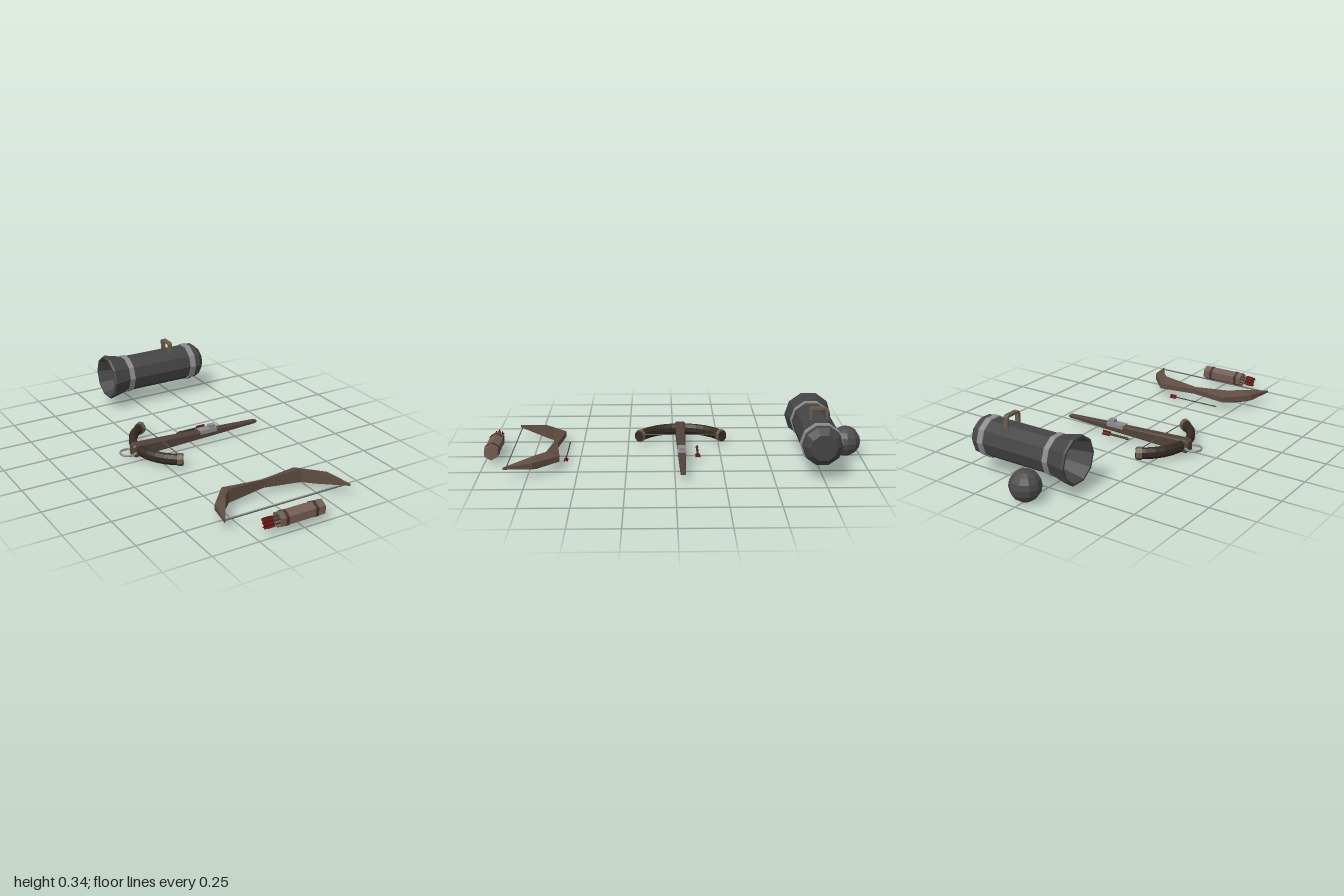
import * as THREE from 'three';

const mat = (color) => new THREE.MeshStandardMaterial({ color, flatShading: true });
const IRON = mat(0x444444), STEEL = mat(0x8c8c8c), BRASS = mat(0x6b5e4a), BALL = mat(0x4c4c4c);
const WOOD = mat(0x5f4c42), LEATHER = mat(0x745c53), STRAP = mat(0x43342d);
const STOCK = mat(0x51423a), LIMB = mat(0x352b22), STRING = mat(0x5a5a5a);
const RED = mat(0x6a1212), SHAFT = mat(0x3c3626);

function add(parent, name, geometry, material, x = 0, y = 0, z = 0) {
  const mesh = new THREE.Mesh(geometry, material);
  mesh.name = name;
  mesh.position.set(x, y, z);
  parent.add(mesh);
  return mesh;
}

function subgroup(parent, name, x = 0, y = 0, z = 0) {
  const g = new THREE.Group();
  g.name = name;
  g.position.set(x, y, z);
  parent.add(g);
  return g;
}

// Turned body along x from [x, radius] points
function turned(points, sides, phase = 0) {
  return new THREE.LatheGeometry(points.map(([x, r]) => new THREE.Vector2(r, x)), sides, phase)
    .rotateZ(-Math.PI / 2);
}

const band = (x0, x1, r, inner, sides, phase) =>
  turned([[x0, inner], [x0, r], [x1, r], [x1, inner]], sides, phase);

// Straight rod between two points
function rod(a, b, r) {
  const d = new THREE.Vector3().subVectors(b, a);
  const g = new THREE.CylinderGeometry(r, r, d.length(), 6);
  g.applyQuaternion(new THREE.Quaternion().setFromUnitVectors(new THREE.Vector3(0, 1, 0), d.clone().normalize()));
  const m = a.clone().add(b).multiplyScalar(0.5);
  return g.translate(m.x, m.y, m.z);
}

// Skin over equal-length rings of [x, y, z], closed at both ends
function loft(rings) {
  const n = rings[0].length, last = (rings.length - 1) * n, index = [];
  for (let i = 0; i < rings.length - 1; i++) {
    for (let j = 0; j < n; j++) {
      const a = i * n + j, b = i * n + (j + 1) % n;
      index.push(a, b, a + n, b, b + n, a + n);
    }
  }
  for (let j = 1; j < n - 1; j++) index.push(0, j + 1, j, last, last + j, last + j + 1);
  const g = new THREE.BufferGeometry();
  g.setAttribute('position', new THREE.Float32BufferAttribute(rings.flat(2), 3));
  g.setIndex(index);
  g.computeVertexNormals();
  return g;
}

// Arrow along x: three vanes at the tail, optional point at the tip
function arrow(parent, name, tip, tail, y, z, r, vaneLen, vaneH, pointed = true) {
  const g = subgroup(parent, name, 0, y, z);
  const s = Math.sign(tail - tip), head = pointed ? r * 5 : 0;
  add(g, 'shaft', rod(new THREE.Vector3(tip + s * head, 0, 0), new THREE.Vector3(tail - s * 0.004, 0, 0), r), SHAFT);
  if (pointed) {
    const cone = new THREE.ConeGeometry(r * 1.5, head, 6).rotateZ(s * Math.PI / 2);
    add(g, 'point', cone, SHAFT, tip + s * head / 2);
  }
  for (let k = 0; k < 3; k++) {
    const vane = new THREE.BoxGeometry(vaneLen, vaneH, 0.004).translate(0, vaneH / 2, 0)
      .rotateX(k * Math.PI * 2 / 3);
    add(g, 'vane', vane, RED, tail - s * vaneLen / 2);
  }
}

function buildCannon(root) {
  const g = subgroup(root, 'cannon', 0, 0.181, -0.735);
  add(g, 'barrel', turned([
    [0.3, 0], [0.3, 0.08], [-0.05, 0.082], [-0.175, 0.112], [-0.175, 0.122], [-0.165, 0.127],
    [-0.06, 0.102], [0.4, 0.102], [0.433, 0.068], [0.433, 0],
  ], 10), IRON);
  add(g, 'frontBand', band(-0.068, -0.038, 0.108, 0.09, 10), STEEL);
  add(g, 'rearBand', band(0.333, 0.367, 0.108, 0.09, 10), STEEL);
  // Arched handle with chamfered corners
  const arch = new THREE.Shape([[-0.048, 0], [-0.036, 0], [-0.036, 0.053], [-0.032, 0.058], [0.032, 0.058],
    [0.036, 0.053], [0.036, 0], [0.048, 0], [0.048, 0.06], [0.037, 0.07], [-0.037, 0.07], [-0.048, 0.06]]
    .map(([x, y]) => new THREE.Vector2(x, y)));
  const handle = new THREE.ExtrudeGeometry(arch, { depth: 0.025, bevelEnabled: false }).rotateY(Math.PI / 2);
  add(g, 'handle', handle, BRASS, 0.213, 0.084, 0);
  add(root, 'cannonball', new THREE.SphereGeometry(0.081, 10, 8), BALL, 0, 0.081, -0.919);
}

function buildCrossbow(root) {
  const g = subgroup(root, 'crossbow', 0, 0, -0.04);
  // Stock: tapering beam with chamfered edges, [x, bottom, top, half width]
  const stock = [[-0.367, 0.022, 0.076, 0.022], [-0.355, 0.013, 0.085, 0.028],
    [0.145, 0.027, 0.065, 0.019], [0.4, 0.035, 0.053, 0.014], [0.41, 0.038, 0.05, 0.011]];
  add(g, 'stock', loft(stock.map(([x, b, t, w]) => {
    const c = w * 0.3;
    return [[x, t, -w + c], [x, t, w - c], [x, t - c, w], [x, b + c, w],
      [x, b, w - c], [x, b, -w + c], [x, b + c, -w], [x, t - c, -w]];
  })), STOCK);
  add(g, 'lockPlate', new THREE.BoxGeometry(0.105, 0.022, 0.046), STEEL, 0.092, 0.062, 0);
  add(g, 'nut', new THREE.BoxGeometry(0.035, 0.02, 0.028), STEEL, 0.12, 0.079, 0);
  add(g, 'stirrupRing', new THREE.TorusGeometry(0.042, 0.006, 6, 16).rotateX(Math.PI / 2), STEEL, -0.388, 0.042, 0);

  // Curved limbs: oval section swept along an arc
  const R = 0.259, cx = -0.071, y0 = 0.05;
  const sweep = (t0, t1, steps, grow) => loft(Array.from({ length: steps + 1 }, (_, i) => {
    const t = t0 + (t1 - t0) * i / steps;
    return Array.from({ length: 8 }, (_, k) => {
      const a = (k + 0.5) * Math.PI / 4;
      const d = -R + Math.cos(a) * (0.021 + 0.004 * Math.abs(t) + grow);
      return [cx + d * Math.cos(t), y0 + Math.sin(a) * (0.031 + grow), -d * Math.sin(t)];
    });
  }));
  const end = 1.11;
  add(g, 'limbs', sweep(-end, end, 12, 0), LIMB);
  add(g, 'tipBand', sweep(end - 0.12, end - 0.02, 1, 0.004), BRASS);
  add(g, 'tipBand', sweep(-end + 0.02, -end + 0.12, 1, 0.004), BRASS);
  add(g, 'string', rod(new THREE.Vector3(-0.188, 0.06, -0.23), new THREE.Vector3(-0.188, 0.06, 0.23), 0.003), STRING);
  arrow(root, 'bolt', -0.055, 0.125, 0.04, -0.124, 0.006, 0.05, 0.014);
}

function buildBow(root) {
  const g = subgroup(root, 'bow', 0.009, 0.0625, 0);
  // Half of the bow: [outer x, outer z, inner x, inner z, outer half height, inner half height]
  const half = [[-0.36, 0.865, -0.348, 0.85, 0.006, 0.008], [-0.327, 0.72, -0.262, 0.71, 0.016, 0.0375],
    [-0.212, 0.593, -0.212, 0.662, 0.015, 0.0375]];
  const mid = [0, 0.622, 0, 0.642, 0.014, 0.022];
  const other = half.map(([a, b, c, d, e, f]) => [-a, b, -c, d, e, f]).reverse();
  add(g, 'bowLimbs', loft([...half, mid, ...other].map(([ox, oz, ix, iz, ho, hi]) =>
    [[ox, ho, oz], [ix, hi, iz], [ix, -hi, iz], [ox, -ho, oz]])), WOOD);
  add(g, 'bowString', rod(new THREE.Vector3(-0.352, 0, 0.85), new THREE.Vector3(0.352, 0, 0.85), 0.003), STRING);
  arrow(root, 'arrow', -0.175, 0.135, 0.024, 0.57, 0.003, 0.04, 0.012);
}

function buildQuiver(root) {
  const g = subgroup(root, 'quiver', 0, 0.0605, 0.962);
  const up = Math.PI / 2;
  add(g, 'quiverBody', turned([[0.09, 0], [0.09, 0.034], [-0.13, 0.034], [-0.13, 0.041],
    [0.12, 0.041], [0.12, 0]], 6, up), LEATHER);
  for (const x of [-0.102, 0.064]) add(g, 'strap', band(x, x + 0.016, 0.0435, 0.036, 6, up), STRAP);
  // Stored arrows, one in the middle and six around it
  arrow(g, 'storedArrow', 0.085, -0.203, 0, 0, 0.003, 0.042, 0.01, false);
  for (let k = 0; k < 6; k++) {
    const a = k * Math.PI / 3 + Math.PI / 6;
    arrow(g, 'storedArrow', 0.085, -0.203 + (k % 2) * 0.006, 0.02 * Math.sin(a), 0.02 * Math.cos(a),
      0.003, 0.04, 0.01, false);
  }
}

export function createModel() {
  const root = new THREE.Group();
  root.name = 'rangedWeaponSet';
  buildCannon(root);
  buildCrossbow(root);
  buildBow(root);
  buildQuiver(root);
  return root;
}
